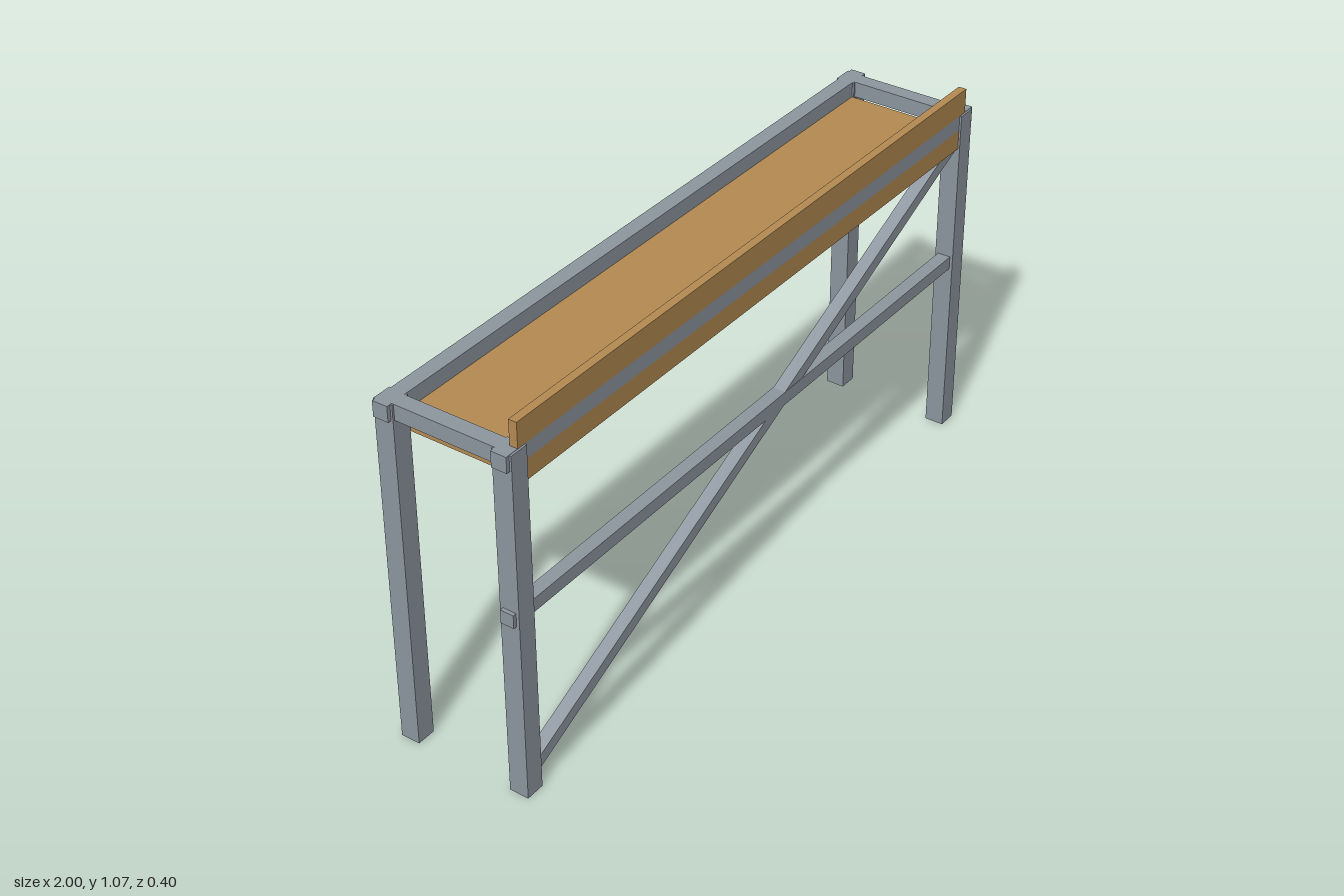
import * as THREE from 'three';

export function createModel() {
  const model = new THREE.Group();
  model.name = 'workTable';

  const steel = new THREE.MeshStandardMaterial({ color: 0x8d969f });
  steel.name = 'grey steel';
  const wood = new THREE.MeshStandardMaterial({ color: 0xb48a52 });
  wood.name = 'brown wood';

  const addBox = (name, material, size, position) => {
    const mesh = new THREE.Mesh(new THREE.BoxGeometry(...size), material);
    mesh.name = name;
    mesh.position.set(...position);
    model.add(mesh);
    return mesh;
  };

  const legX = 0.962;
  const legZ = 0.17;
  const legHeight = 0.999;
  const rail = 0.044;
  const railY = 1 - rail / 2;

  // Four square legs
  for (const [side, sx] of [['left', 1], ['right', -1]]) {
    for (const [end, sz] of [['Front', 1], ['Back', -1]]) {
      addBox(side + end + 'Leg', steel, [0.055, legHeight, 0.055], [sx * legX, legHeight / 2, sz * legZ]);
    }
    // Short top rail joining the front and back legs
    addBox(side + 'EndRail', steel, [rail, rail, 2 * legZ - rail], [sx * legX, railY, 0]);
  }

  // Long top rails, poking out past the legs
  addBox('frontTopRail', steel, [2, rail, rail], [0, railY, legZ]);
  addBox('backTopRail', steel, [2, rail, rail], [0, railY, -legZ]);

  // Front stretcher at mid height
  addBox('stretcher', steel, [2, 0.038, 0.038], [0, 0.541, legZ]);

  // Diagonal brace between the front legs
  const low = new THREE.Vector2(-0.955, 0.053);
  const high = new THREE.Vector2(0.955, 0.928);
  const span = high.clone().sub(low);
  const middle = low.clone().add(high).multiplyScalar(0.5);
  const brace = addBox('diagonalBrace', steel, [span.length(), 0.034, 0.036], [middle.x, middle.y, legZ]);
  brace.rotation.z = span.angle();

  // Wooden board under the frame and the upright lip on the front rail
  addBox('tableBoard', wood, [1.87, 0.056, 0.384], [0, 0.928, 0]);
  addBox('frontLip', wood, [1.92, 0.07, 0.023], [0, 1.035, 0.181]);

  return model;
}
